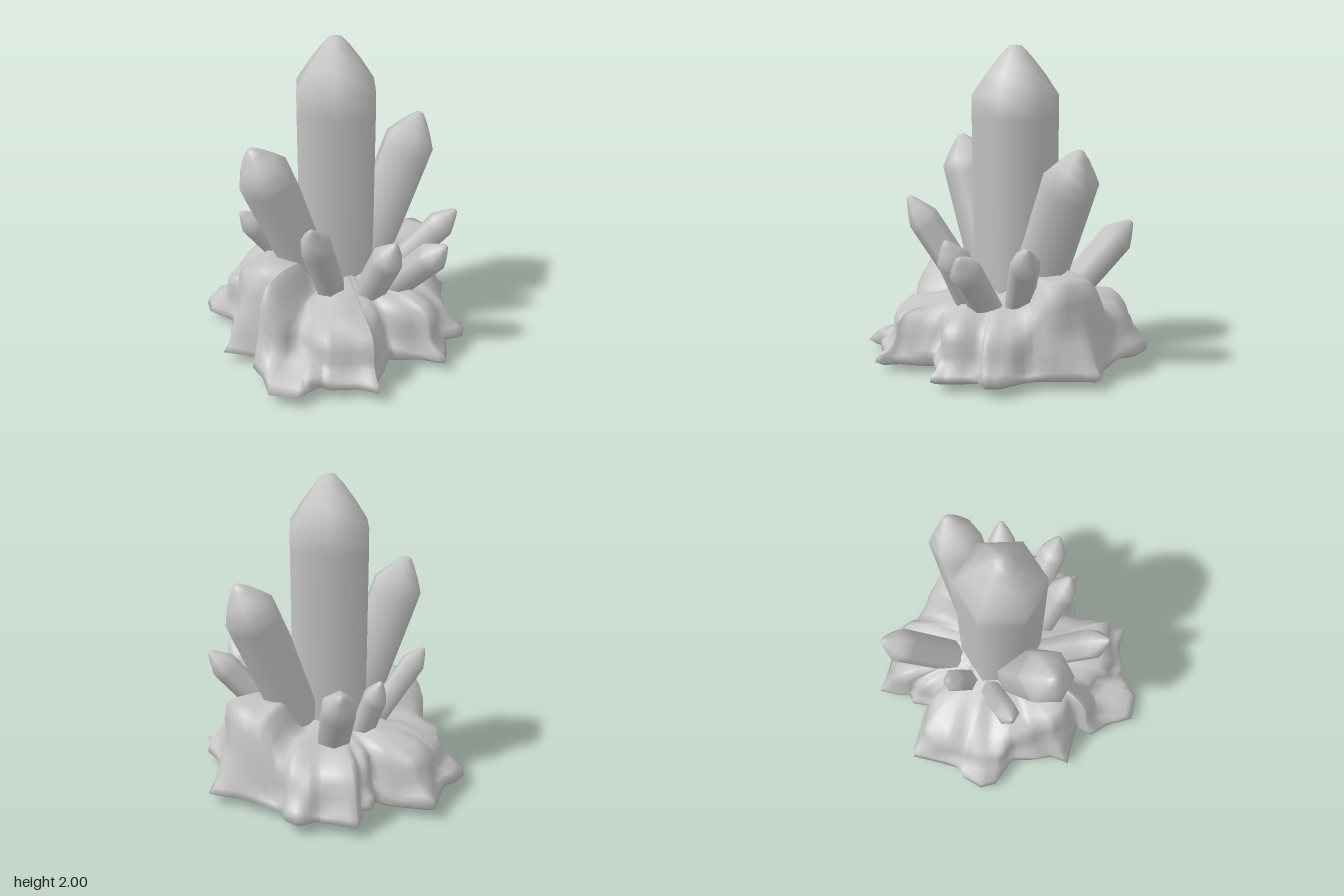
import * as THREE from 'three';

const stone = new THREE.MeshStandardMaterial({ color: 0xc4c4c4 });
stone.name = 'paleStone';

// Six-sided crystal from base to tip; shoulder is the length of the pointed end
function crystal(name, base, tip, r, shoulder) {
  const a = new THREE.Vector3(...base);
  const dir = new THREE.Vector3(...tip).sub(a);
  const len = dir.length();
  const s = len - shoulder;
  const profile = [
    [r * 0.95, 0], [r * 0.98, s * 0.4], [r, s * 0.9], [r, s],
    [r * 0.68, s + shoulder * 0.42], [r * 0.36, s + shoulder * 0.78],
    [r * 0.14, s + shoulder * 0.98], [0, len],
  ].map(([x, y]) => new THREE.Vector2(x, y));
  const mesh = new THREE.Mesh(new THREE.LatheGeometry(profile, 6).rotateY(Math.PI / 2), stone);
  mesh.name = name;
  mesh.position.copy(a);
  mesh.quaternion.setFromUnitVectors(new THREE.Vector3(0, 1, 0), dir.normalize());
  return mesh;
}

// Ground outline of the rock, x and z, turning from +x towards +z
const outline = [
  [0.85, 0], [0.72, 0.16], [0.62, 0.3], [0.6, 0.38], [0.6, 0.55], [0.55, 0.63],
  [0.44, 0.6], [0.36, 0.72], [0.28, 0.82], [0.2, 0.72], [0.08, 0.66], [0, 0.6],
  [-0.1, 0.7], [-0.2, 0.78], [-0.25, 0.88], [-0.33, 0.78], [-0.48, 0.7], [-0.52, 0.64],
  [-0.7, 0.67], [-0.82, 0.55], [-0.77, 0.38], [-0.77, 0.25], [-0.67, 0.19], [-0.75, 0.1],
  [-0.85, 0], [-0.75, -0.08], [-0.7, -0.2], [-0.63, -0.32], [-0.71, -0.5], [-0.68, -0.6],
  [-0.56, -0.66], [-0.48, -0.66], [-0.36, -0.77], [-0.25, -0.88], [-0.13, -0.77], [-0.06, -0.7],
  [0, -0.6], [0.08, -0.69], [0.15, -0.68], [0.18, -0.74], [0.28, -0.84], [0.38, -0.72],
  [0.45, -0.65], [0.56, -0.64], [0.6, -0.55], [0.57, -0.42], [0.66, -0.25], [0.73, -0.12],
];

// Smooth, repeatable lumps
const lump = (x, y, z) =>
  Math.sin(11 * x + 5 * y + 1) * Math.sin(10 * z - 7 * y + 2) +
  0.6 * Math.sin(23 * x - 9 * z + 8 * y) * Math.sin(19 * z + 16 * y);

// Rock: rings from the crown, over the steep rim, down to the ground and under
function rock() {
  const sub = 3, n = outline.length * sub;
  const pos = [], idx = [];
  const rings = 16;
  for (let k = 0; k < rings; k++) {
    for (let i = 0; i < n; i++) {
      const p = outline[Math.floor(i / sub)];
      const q = outline[(Math.floor(i / sub) + 1) % outline.length];
      const t = (i % sub) / sub;
      const ox = p[0] + (q[0] - p[0]) * t, oz = p[1] + (q[1] - p[1]) * t;
      const R = Math.hypot(ox, oz), cx = ox / R, cz = oz / R;
      // The rim reaches further at the front and back, less at the longest corner
      const reach = 0.67 + 0.12 * cz * cz + 0.04 * Math.max(0, -cx);
      const rim = Math.min(R * 0.92, reach - 1.5 * Math.max(0, R - 0.92));
      // Tall lumps at both sides, lower shoulders at the corners
      const side = 1 - THREE.MathUtils.smoothstep(Math.abs(cz), 0.29, 0.55);
      const corner = Math.pow(2 * cx * cz, 2);
      const h = (0.37 + 0.22 * side - 0.04 * corner) * (0.65 + 0.35 * Math.min(1, R / 0.75));
      const crown = 0.43 + 0.195 * side;
      const steps = [
        [0, 0.5], [rim * 0.3, 0.49], [rim * 0.52, crown], [rim * 0.7, crown],
        [rim * 0.85, (crown + h) / 2], [rim * 0.94, h], [rim * 0.985, h * 0.82],
        [rim, h * 0.62], [rim + (R - rim) * 0.25, h * 0.42 + 0.03],
        [rim + (R - rim) * 0.55, h * 0.24 + 0.05], [rim + (R - rim) * 0.85, 0.11],
        [R, 0.07], [R * 0.94, 0.045], [R * 0.4, 0.032], [R * 0.06, 0.022], [0, 0],
      ];
      let [r, y] = steps[k];
      if (k > 1 && k < 11) {
        const b = lump(cx * r, y, cz * r);
        r += 0.018 * b;
        y += 0.016 * b;
      }
      pos.push(cx * r, y, cz * r);
      if (k < rings - 1) {
        const j = (i + 1) % n, a = k * n + i, b = k * n + j;
        if (k > 0) idx.push(a, b, a + n);
        if (k < rings - 2) idx.push(b, b + n, a + n);
      }
    }
  }
  const g = new THREE.BufferGeometry();
  g.setAttribute('position', new THREE.Float32BufferAttribute(pos, 3));
  g.setIndex(idx);
  g.computeVertexNormals();
  // All centre points share one normal
  for (let i = 0; i < n; i++) {
    g.attributes.normal.setXYZ(i, 0, 1, 0);
    g.attributes.normal.setXYZ((rings - 1) * n + i, 0, -1, 0);
  }
  const mesh = new THREE.Mesh(g, stone);
  mesh.name = 'rockBase';
  return mesh;
}

export function createModel() {
  const model = new THREE.Group();
  model.name = 'crystalCluster';
  model.add(
    rock(),
    crystal('mainCrystal', [-0.01, 0.3, -0.02], [-0.01, 2, -0.02], 0.275, 0.31),
    // Two large leaning crystals
    crystal('rightLargeCrystal', [-0.14, 0.36, -0.015], [-0.605, 1.4, -0.015], 0.172, 0.19),
    crystal('leftLargeCrystal', [0.15, 0.36, -0.015], [0.625, 1.395, -0.015], 0.172, 0.19),
    // Small crystals around the front
    crystal('frontRightCrystal', [-0.16, 0.4, 0.19], [-0.485, 1.04, 0.48], 0.1, 0.17),
    crystal('frontCrystal', [0.01, 0.33, 0.29], [0.06, 0.84, 0.56], 0.102, 0.13),
    crystal('frontLeftCrystal', [0.15, 0.34, 0.28], [0.36, 0.795, 0.67], 0.098, 0.12),
    crystal('sideLeftCrystal', [0.22, 0.34, 0.14], [0.64, 0.855, 0.385], 0.09, 0.13),
    // Small crystals around the back
    crystal('backLeftCrystal', [0.11, 0.31, -0.25], [0.32, 0.865, -0.715], 0.112, 0.14),
    crystal('backCrystal', [-0.07, 0.33, -0.28], [-0.105, 0.79, -0.48], 0.078, 0.12),
    crystal('backRightCrystal', [-0.18, 0.38, -0.22], [-0.56, 0.865, -0.28], 0.078, 0.11),
  );
  return model;
}
